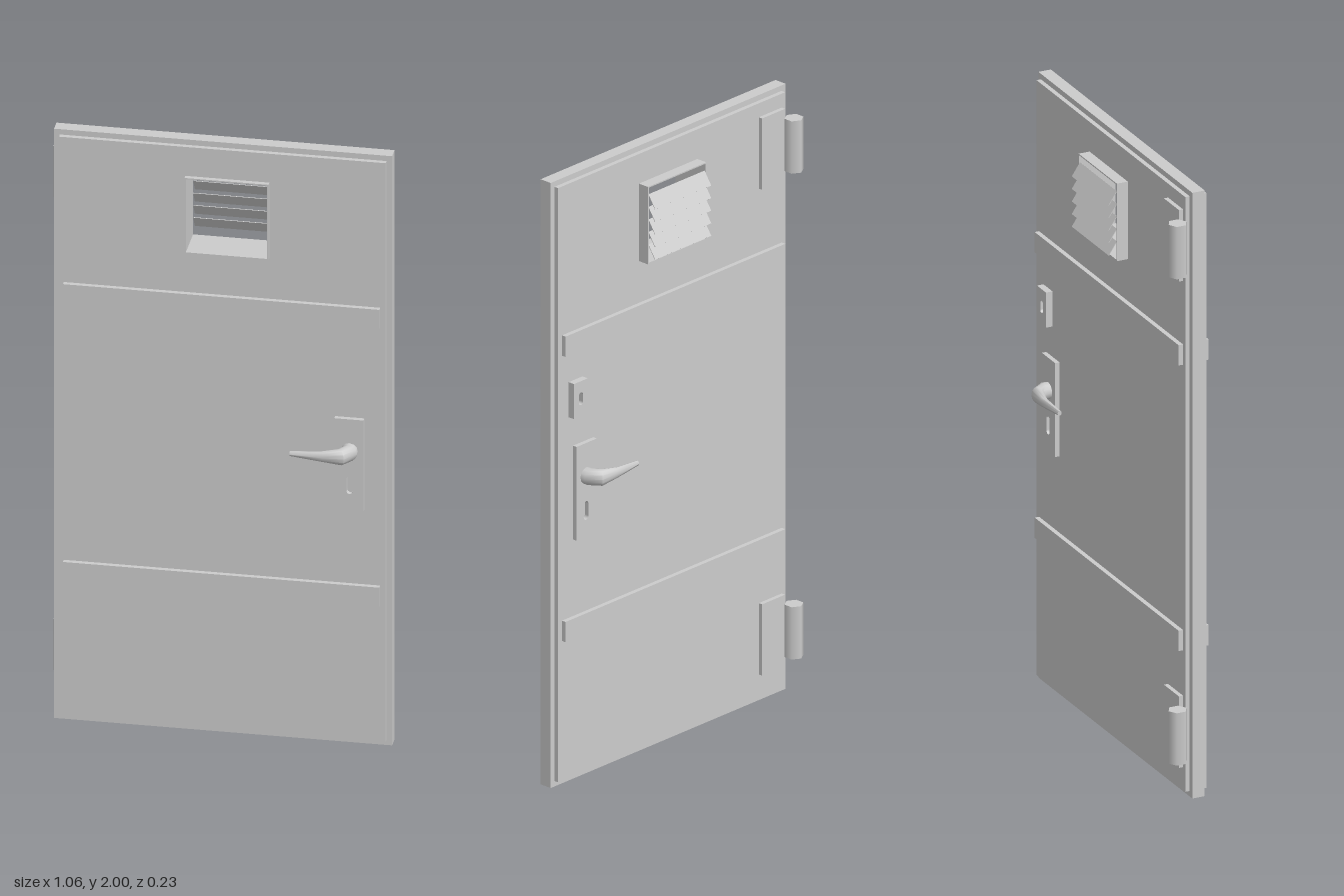
import * as THREE from 'three';
import { toCreasedNormals } from 'three/addons/utils/BufferGeometryUtils.js';

const mat = new THREE.MeshStandardMaterial({ color: 0xcccccc });

function add(parent, name, geometry) {
  const mesh = new THREE.Mesh(geometry, mat);
  mesh.name = name;
  parent.add(mesh);
  return mesh;
}

// Box given by its limits
function box(parent, name, x0, x1, y0, y1, z0, z1) {
  const mesh = add(parent, name, new THREE.BoxGeometry(x1 - x0, y1 - y0, z1 - z0));
  mesh.position.set((x0 + x1) / 2, (y0 + y1) / 2, (z0 + z1) / 2);
  return mesh;
}

function rect(C, x0, x1, y0, y1) {
  return new C([[x0, y0], [x1, y0], [x1, y1], [x0, y1]].map(p => new THREE.Vector2(...p)));
}

// Upright slot with round ends
function slot(x, y, w, h) {
  const r = w / 2, d = h / 2 - r, path = new THREE.Path();
  path.absarc(x, y + d, r, 0, Math.PI);
  path.absarc(x, y - d, r, Math.PI, 2 * Math.PI);
  path.closePath();
  return path;
}

// Rectangular slab with one hole
function holedSlab(parent, name, [x0, x1, y0, y1], hole, z0, z1) {
  const shape = rect(THREE.Shape, x0, x1, y0, y1);
  shape.holes.push(hole);
  const g = new THREE.ExtrudeGeometry(shape, { depth: z1 - z0, bevelEnabled: false, curveSegments: 6 });
  return add(parent, name, g.translate(0, 0, z0));
}

// Lever lofted from oval sections; s = 1 for the front, -1 for the back
function leverGeometry(s) {
  // inner x, inner z, outer x, outer z, half height
  const sections = [
    [0.375, 0.036, 0.428, 0.036, 0.026],
    [0.375, 0.066, 0.428, 0.068, 0.027],
    [0.366, 0.083, 0.395, 0.112, 0.027],
    [0.315, 0.094, 0.330, 0.115, 0.017],
    [0.227, 0.093, 0.227, 0.107, 0.008],
  ];
  const n = 12, y = 1.003, pos = [], idx = [];
  for (const [ix, iz, ox, oz, h] of sections) {
    for (let j = 0; j < n; j++) {
      const t = s * j / n * 2 * Math.PI, k = (1 + Math.cos(t)) / 2;
      pos.push(ix + (ox - ix) * k, y + h * Math.sin(t), s * (iz + (oz - iz) * k));
    }
  }
  for (let i = 0; i < sections.length - 1; i++) {
    for (let j = 0; j < n; j++) {
      const a = i * n + j, b = i * n + (j + 1) % n;
      idx.push(a, b, a + n, b, b + n, a + n);
    }
  }
  const end = (sections.length - 1) * n;
  for (let j = 1; j < n - 1; j++) idx.push(end, end + j, end + j + 1);
  const g = new THREE.BufferGeometry();
  g.setAttribute('position', new THREE.Float32BufferAttribute(pos, 3));
  g.setIndex(idx);
  return toCreasedNormals(g, 0.9);
}

export function createModel() {
  const door = new THREE.Group();
  door.name = 'door';
  const win = [-0.107, 0.152, 1.628, 1.884];
  const winHole = () => rect(THREE.Path, ...win);

  // Door leaf: wide core with a slightly smaller sheet on each face
  holedSlab(door, 'core', [-0.515, 0.528, 0, 2], winHole(), -0.021, 0.021);
  for (const [name, z0, z1] of [['frontSheet', 0.021, 0.036], ['backSheet', -0.036, -0.021]]) {
    holedSlab(door, name, [-0.497, 0.511, 0.018, 1.982], winHole(), z0, z1);
  }

  // Window sleeve and sloping louvre slats
  const [x0, x1, y0, y1] = win, wall = 0.004;
  holedSlab(door, 'windowFrame', win,
    rect(THREE.Path, x0 + wall, x1 - wall, y0 + wall, y1 - wall), -0.073, 0.051);
  const pitch = 0.0415, run = 0.028;
  for (let i = 0; i < 5; i++) {
    const slat = add(door, 'louvreSlat', new THREE.BoxGeometry(x1 - x0 - 0.01, 0.002, Math.hypot(pitch, run)));
    slat.position.set((x0 + x1) / 2, 1.857 - (i + 0.5) * pitch, -0.084);
    slat.rotation.x = -Math.atan2(pitch, run);
  }

  // Cross bars, handle plates and levers on both faces
  for (const [side, s] of [['front', 1], ['back', -1]]) {
    const z0 = s > 0 ? 0.036 : -0.051, z1 = z0 + 0.015;
    box(door, side + 'UpperBar', -0.482, 0.494, 1.423, 1.49, z0, z1);
    box(door, side + 'LowerBar', -0.482, 0.494, 0.48, 0.547, z0, z1);
    holedSlab(door, side + 'HandlePlate', [0.355, 0.445, 0.80, 1.11], slot(0.403, 0.887, 0.021, 0.061), z0, z1);
    add(door, side + 'Lever', leverGeometry(s));
  }

  // Extra lock on the back
  holedSlab(door, 'lockPlate', [0.403, 0.464, 1.21, 1.326], slot(0.433, 1.268, 0.018, 0.042), -0.058, -0.036);

  // Hinges: leaf plate and six-sided barrel
  for (const y of [0.212, 1.818]) {
    const hinge = new THREE.Group();
    hinge.name = 'hinge';
    door.add(hinge);
    box(hinge, 'hingeLeaf', -0.482, -0.38, y - 0.118, y + 0.118, -0.05, -0.036);
    const barrel = add(hinge, 'hingeBarrel', new THREE.CylinderGeometry(0.03, 0.03, 0.173, 6));
    barrel.position.set(-0.504, y, -0.066);
  }
  return door;
}
